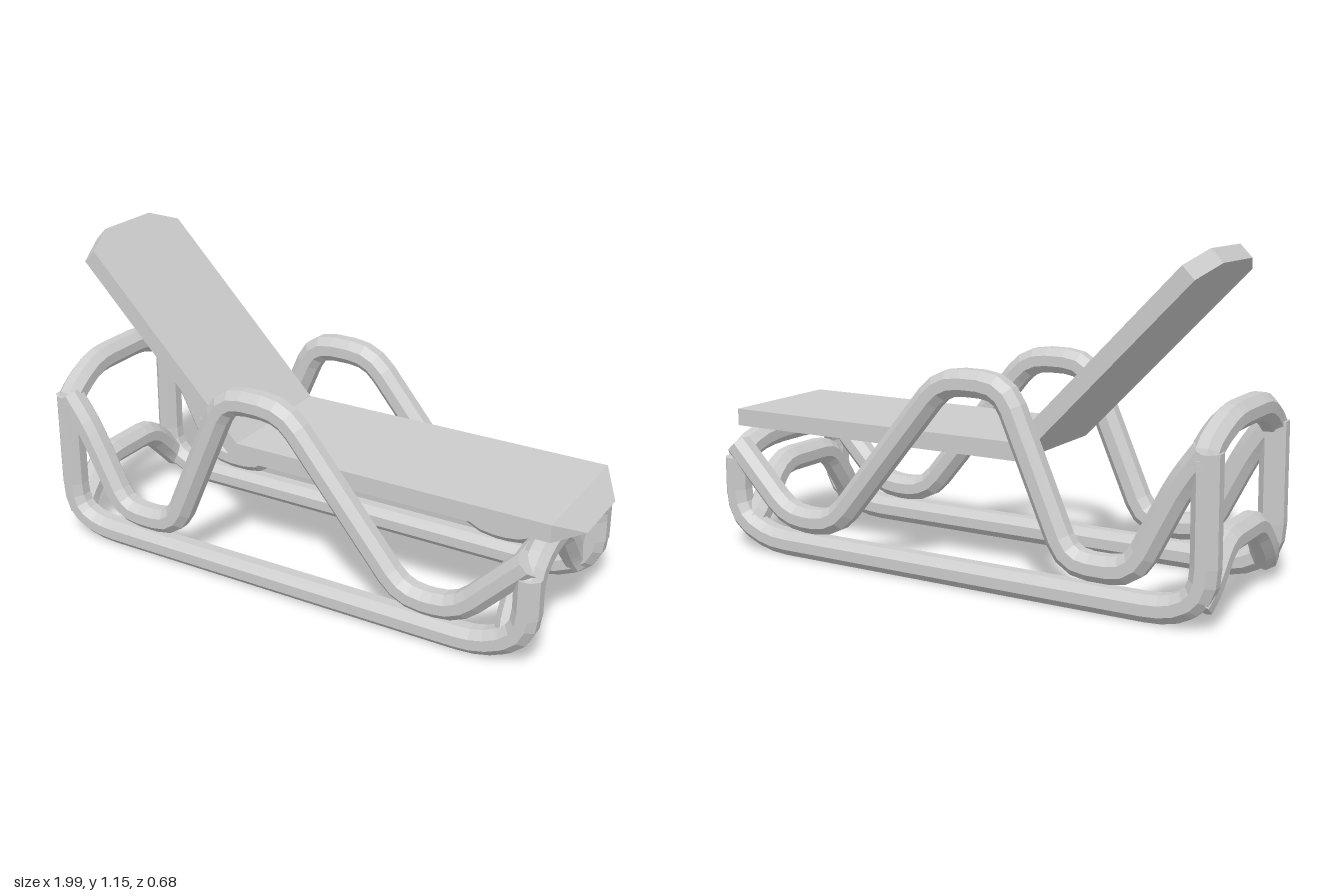
import * as THREE from 'three';
import { ConvexGeometry } from 'three/addons/geometries/ConvexGeometry.js';

const V = (x, y, z) => new THREE.Vector3(x, y, z);
const SIDES = 8, RADIUS = 0.049, RAIL_Z = 0.296;
const material = new THREE.MeshStandardMaterial({ color: 0xcccccc, flatShading: true });

// Replace each inner corner of a polyline with a short curve
function roundCorners(points, radius) {
  const out = [points[0]];
  for (let i = 1; i < points.length - 1; i++) {
    const p = points[i];
    const toward = (q) => {
      const d = p.distanceTo(q);
      return p.clone().lerp(q, Math.min(radius, d * 0.45) / d);
    };
    const bend = new THREE.QuadraticBezierCurve3(toward(points[i - 1]), p, toward(points[i + 1]));
    out.push(...bend.getPoints(3));
  }
  out.push(points[points.length - 1]);
  return out;
}

// Octagonal pipe with mitred bends; axis is the direction across the bending plane
function pipe(name, corners, axis, bendRadius = 0.09) {
  const path = roundCorners(corners, bendRadius);
  const pos = [], index = [], last = path.length - 1;
  path.forEach((p, i) => {
    const a = path[Math.max(i - 1, 0)], b = path[Math.min(i + 1, last)];
    const before = (i ? p.clone().sub(a) : b.clone().sub(p)).normalize();
    const after = (i < last ? b.clone().sub(p) : before.clone()).normalize();
    const t = before.clone().add(after).normalize();
    const n = axis.clone().addScaledVector(t, -axis.dot(t)).normalize();
    const side = t.clone().cross(n);
    const mitre = 1 / before.dot(t);
    for (let k = 0; k < SIDES; k++) {
      const ang = ((k + 0.5) / SIDES) * Math.PI * 2;
      const v = p.clone().addScaledVector(n, RADIUS * Math.cos(ang))
        .addScaledVector(side, RADIUS * Math.sin(ang) * mitre);
      pos.push(v.x, v.y, v.z);
    }
  });
  for (let i = 0; i < last; i++) {
    for (let k = 0; k < SIDES; k++) {
      const a = i * SIDES + k, b = i * SIDES + ((k + 1) % SIDES);
      index.push(a, b, a + SIDES, b, b + SIDES, a + SIDES);
    }
  }
  // End caps
  for (let k = 1; k < SIDES - 1; k++) {
    const e = last * SIDES;
    index.push(0, k + 1, k, e, e + k, e + k + 1);
  }
  const geometry = new THREE.BufferGeometry();
  geometry.setAttribute('position', new THREE.Float32BufferAttribute(pos, 3));
  geometry.setIndex(index);
  geometry.computeVertexNormals();
  const mesh = new THREE.Mesh(geometry, material);
  mesh.name = name;
  return mesh;
}

// Hoop given by its +z half, mirrored across the middle
function hoop(name, half, bendRadius) {
  const other = half.map((p) => V(p.x, p.y, -p.z)).reverse();
  return pipe(name, [...half, ...other], V(1, 0, 0), bendRadius);
}

// Cushion slab: [x, y, half width] triples, mirrored in z
function slab(name, sections) {
  const points = sections.flatMap(([x, y, w]) => [V(x, y, w), V(x, y, -w)]);
  const mesh = new THREE.Mesh(new ConvexGeometry(points), material);
  mesh.name = name;
  return mesh;
}

export function createModel() {
  const group = new THREE.Group();
  group.name = 'sunLounger';

  // Side frames: ground rail with upright ends, and the wavy armrest pipe
  const rail = [[-0.95, 0.56], [-0.955, 0.12], [-0.85, 0.05], [0.73, 0.05], [0.875, 0.13], [0.875, 0.34]];
  const wave = [[-0.945, 0.56], [-0.865, 0.45], [-0.715, 0.15], [-0.49, 0.15], [-0.25, 0.698],
    [-0.02, 0.698], [0.435, 0.145], [0.635, 0.145], [0.87, 0.385]];
  for (const [label, z] of [['left', RAIL_Z], ['right', -RAIL_Z]]) {
    const at = ([x, y]) => V(x, y, z);
    const frame = new THREE.Group();
    frame.name = label === 'left' ? 'frontSideFrame' : 'backSideFrame';
    frame.add(pipe('groundRail', rail.map(at), V(0, 0, 1)));
    frame.add(pipe('armrest', wave.map(at), V(0, 0, 1), 0.08));
    group.add(frame);
  }

  // Upper hoops joining the uprights at the head and foot
  group.add(hoop('headHoop', [V(-0.95, 0.5, RAIL_Z), V(-0.94, 0.56, RAIL_Z), V(-0.953, 0.638, 0.15)], 0.07));
  group.add(hoop('footHoop', [V(0.875, 0.2, RAIL_Z), V(0.875, 0.345, RAIL_Z), V(0.87, 0.402, 0.16)], 0.1));

  // Lower hoops bracing the frame corners
  group.add(hoop('headBrace', [V(-0.93, 0.08, RAIL_Z), V(-0.945, 0.13, 0.255), V(-0.945, 0.245, 0.14)], 0.06));
  group.add(hoop('footBrace', [V(0.82, 0.09, RAIL_Z), V(0.805, 0.14, 0.262), V(0.805, 0.3, 0.14)], 0.06));

  // Seat with a chamfered foot end
  group.add(slab('seat', [
    [-0.25, 0.505, 0.245], [-0.272, 0.443, 0.245],
    [0.915, 0.505, 0.245], [0.915, 0.443, 0.245], [0.99, 0.443, 0.125],
  ]));

  // Reclined backrest with clipped top corners
  group.add(slab('backrest', [
    [-0.25, 0.505, 0.245], [-0.272, 0.443, 0.245],
    [-0.83, 1.105, 0.245], [-0.872, 1.062, 0.245],
    [-0.872, 1.15, 0.125], [-0.914, 1.107, 0.125],
  ]));

  return group;
}
